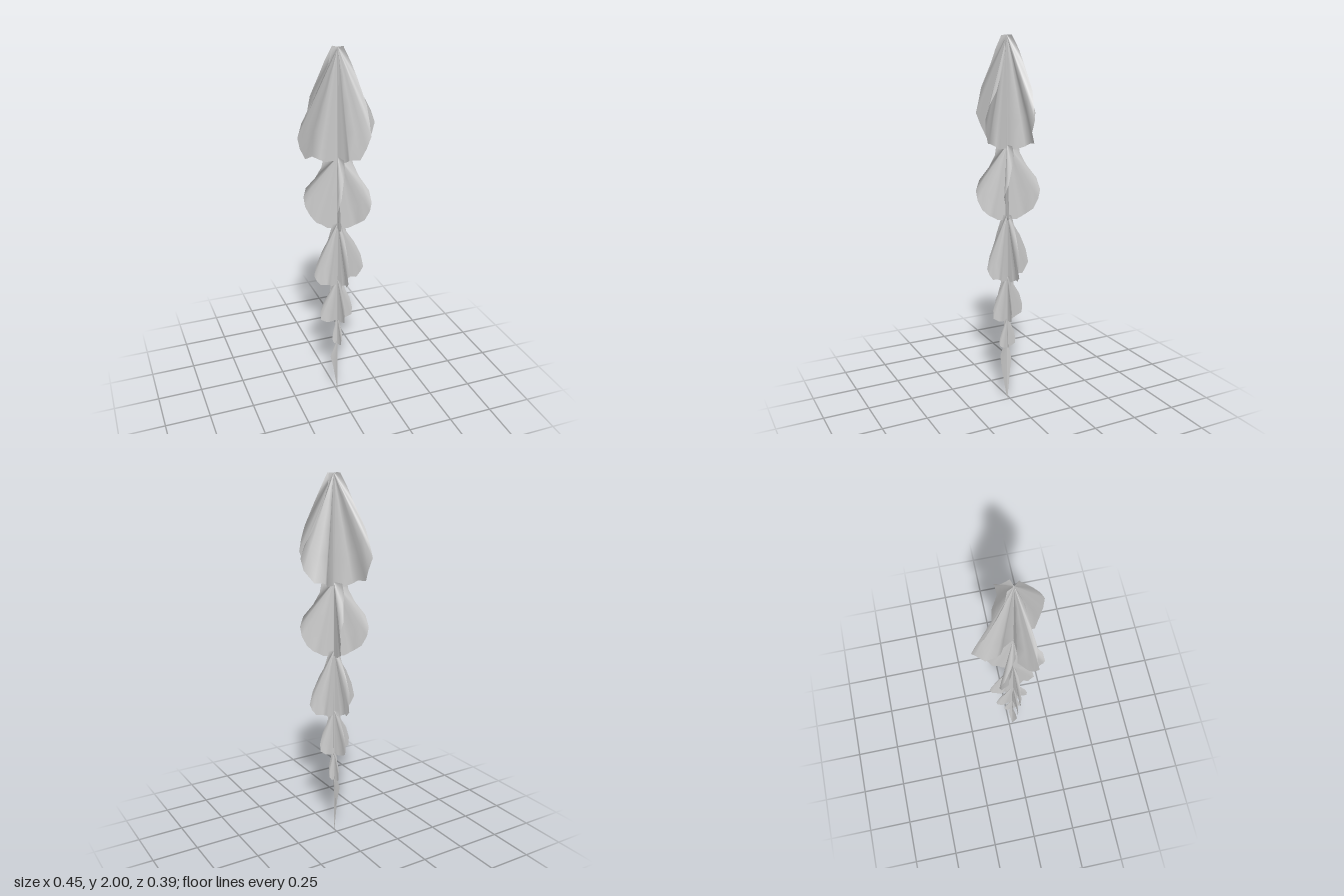
import * as THREE from 'three';

const material = new THREE.MeshStandardMaterial({ color: 0xcccccc, side: THREE.DoubleSide });

// Rim of a leaf: [reach, height, sideways swing], as shares of the leaf's size
const topRim = [[0.16, 1, 0.02], [0.28, 0.88, 0.1], [0.44, 0.75, 0.17], [0.74, 0.53, 0.13], [0.9, 0.41, 0.08],
  [1, 0.29, 0], [0.91, 0.18, 0.03], [0.76, 0.07, 0.18], [0.52, 0.06, 0.32], [0.4, 0.03, 0.2], [0.26, 0, 0.08], [0, 0, 0]];
const secondRim = [[0.36, 1, 0.18], [0.41, 0.88, 0.2], [0.6, 0.72, 0.19], [0.9, 0.55, 0.08], [1, 0.4, 0],
  [0.95, 0.27, 0], [0.8, 0.14, 0.03], [0.6, 0.07, 0.08], [0.46, 0.04, 0.07], [0.3, 0, 0.03], [0, 0, 0]];
const thirdRim = [[0.24, 1, 0.06], [0.38, 0.82, 0.1], [0.66, 0.65, 0.1], [0.92, 0.43, 0.04], [1, 0.23, 0],
  [0.92, 0.14, 0.03], [0.75, 0.06, 0.06], [0.55, 0.06, 0.12], [0.38, 0.03, 0.08], [0.28, 0, 0.04], [0, 0, 0]];
const lowRim = [[0.42, 1, 0.08], [0.48, 0.76, 0.08], [0.82, 0.53, 0.06], [1, 0.28, 0],
  [0.96, 0.1, 0.03], [0.65, 0.03, 0.1], [0.35, 0, 0.06], [0, 0, 0]];
const spikeRim = [[0.15, 1, 0], [0.7, 0.86, 0], [1, 0.74, 0], [0.7, 0.52, 0.08], [0.3, 0.22, 0.06], [0, 0, 0]];

// Each tier: height range, rim and every leaf as [tip x, tip z, upper swing, hem swing] from the stem
const tiers = [
  { name: 'topTier', top: 2, bottom: 1.43, rim: topRim,
    leaves: [[0.22, -0.04, 1, 1], [0.105, 0.175, 1.2, -0.5], [-0.235, 0.065, 0.5, -0.5], [-0.09, -0.22, 0.8, 0.6]] },
  { name: 'secondTier', top: 1.45, bottom: 1.05, rim: secondRim,
    leaves: [[0.155, 0.09, 1, 1], [-0.055, 0.155, 1, 1], [-0.155, -0.1, 1, 1], [0.06, -0.165, 1, 1]] },
  { name: 'thirdTier', top: 1.08, bottom: 0.71, rim: thirdRim,
    leaves: [[0.148, 0.005, 1, 1], [0.015, 0.125, 1, 1], [-0.138, 0.015, 1, 1], [-0.015, -0.135, 1, 1]] },
  { name: 'fourthTier', top: 0.74, bottom: 0.48, rim: lowRim,
    leaves: [[0.082, 0.015, 1, 1], [0.008, 0.09, 1, 1], [-0.105, 0.01, 1, 1], [-0.012, -0.1, 1, 1]] },
  { name: 'fifthTier', top: 0.49, bottom: 0.32, rim: lowRim,
    leaves: [[0.026, 0.008, 1, 1], [0.004, 0.05, 1, 1], [-0.026, -0.008, 1, 1], [0.002, -0.05, 1, 1]] },
  { name: 'tipTier', top: 0.34, bottom: 0, rim: spikeRim,
    leaves: [[-0.048, 0.02, 1, 1], [0.006, -0.022, 1, 1]] },
];

// Pleated sheet fanning out from the top of the stem to the rim
function leafGeometry({ top, bottom, rim }, [dx, dz, upper, hem]) {
  const steps = 4;
  const tipIndex = rim.findIndex(([reach]) => reach === 1);
  const positions = [];
  const index = [];
  rim.forEach(([reach, height, swing], i) => {
    const pleat = i > 0 && i < rim.length - 1 ? (i % 2 ? 0.02 : -0.02) : 0;
    const strength = i < tipIndex ? upper : hem;
    for (let j = 0; j <= steps; j++) {
      const s = j / steps;
      const along = reach * s;
      const side = (swing * strength + pleat) * s;
      positions.push(
        dx * along + dz * side,
        top - (top - bottom) * (1 - height) * s,
        dz * along - dx * side);
      if (i && j) {
        const d = i * (steps + 1) + j;
        const b = d - steps - 1;
        index.push(b - 1, d, b);
        if (j > 1) index.push(b - 1, d - 1, d);
      }
    }
  });
  const geometry = new THREE.BufferGeometry();
  geometry.setAttribute('position', new THREE.Float32BufferAttribute(positions, 3));
  geometry.setIndex(index);
  geometry.computeVertexNormals();
  return geometry;
}

export function createModel() {
  const model = new THREE.Group();
  model.name = 'hangingLeafSpray';

  for (const tier of tiers) {
    const group = new THREE.Group();
    group.name = tier.name;
    tier.leaves.forEach((spec, i) => {
      const leaf = new THREE.Mesh(leafGeometry(tier, spec), material);
      leaf.name = `leaf${i + 1}`;
      group.add(leaf);
    });
    group.position.set(0.005, 0, 0.02);
    model.add(group);
  }

  // Thin tapering stem
  const stem = new THREE.Mesh(new THREE.CylinderGeometry(0.004, 0.002, 1.95, 6), material);
  stem.name = 'stem';
  stem.position.set(0.005, 1.02, 0.02);
  model.add(stem);
  return model;
}
